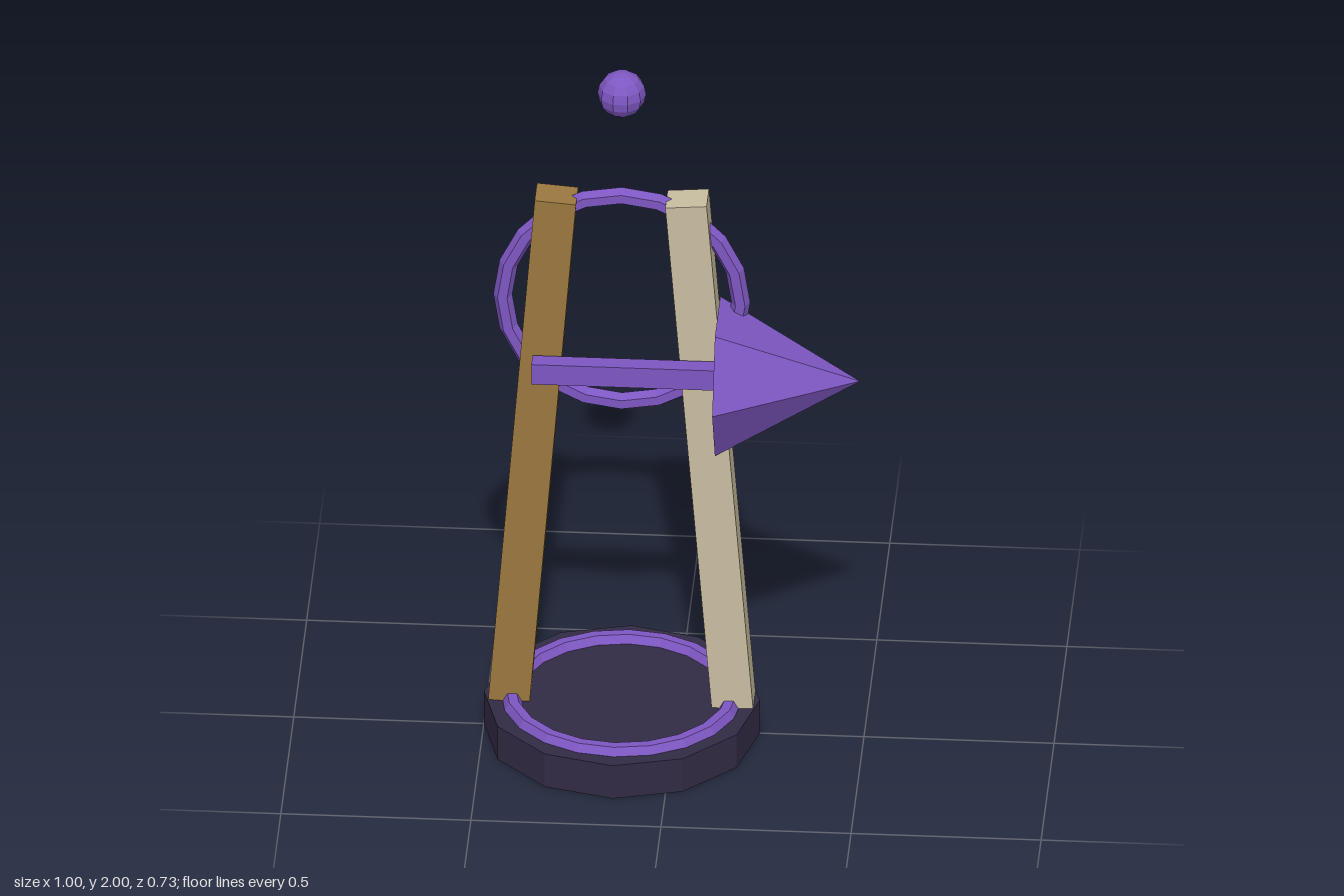
import * as THREE from 'three';

const CX = -0.137; // axis of base, rings and ball

const mat = (color) => new THREE.MeshStandardMaterial({ color, flatShading: true });

export function createModel() {
  const group = new THREE.Group();
  const purple = mat(0x7e57c2);
  const dark = mat(0x322b45);
  const brown = mat(0x9c7840);
  const beige = mat(0xc9bea0);

  function add(name, geometry, material, x, y, z = 0) {
    const mesh = new THREE.Mesh(geometry, material);
    mesh.name = name;
    mesh.position.set(x, y, z);
    group.add(mesh);
    return mesh;
  }

  // Twelve-sided plinth with a ring half sunk into its top
  add('base', new THREE.CylinderGeometry(0.363, 0.363, 0.1, 12), dark, CX, 0.05);
  const baseRing = add('baseRing', new THREE.TorusGeometry(0.292, 0.025, 6, 20), purple, CX, 0.1);
  baseRing.rotation.x = -Math.PI / 2;

  // Two posts leaning towards each other
  for (const [name, side, material] of [['rightPost', -1, brown], ['leftPost', 1, beige]]) {
    const post = add(name, new THREE.BoxGeometry(0.109, 1.53, 0.092), material, CX + side * 0.233, 0.86);
    post.rotation.z = side * 0.08;
  }

  // Upright ring between the posts
  add('uprightRing', new THREE.TorusGeometry(0.313, 0.025, 6, 20), purple, CX, 1.312);

  // Arrow pointing sideways in front of the posts
  add('arrowShaft', new THREE.BoxGeometry(0.49, 0.06, 0.048), purple, -0.123, 1.131, 0.08);
  const head = add('arrowHead', new THREE.ConeGeometry(0.21, 0.375, 6), purple, 0.308, 1.131, 0.08);
  head.rotation.z = -Math.PI / 2;

  // Floating ball
  add('ball', new THREE.SphereGeometry(0.064, 10, 8), purple, CX, 1.936);

  return group;
}
